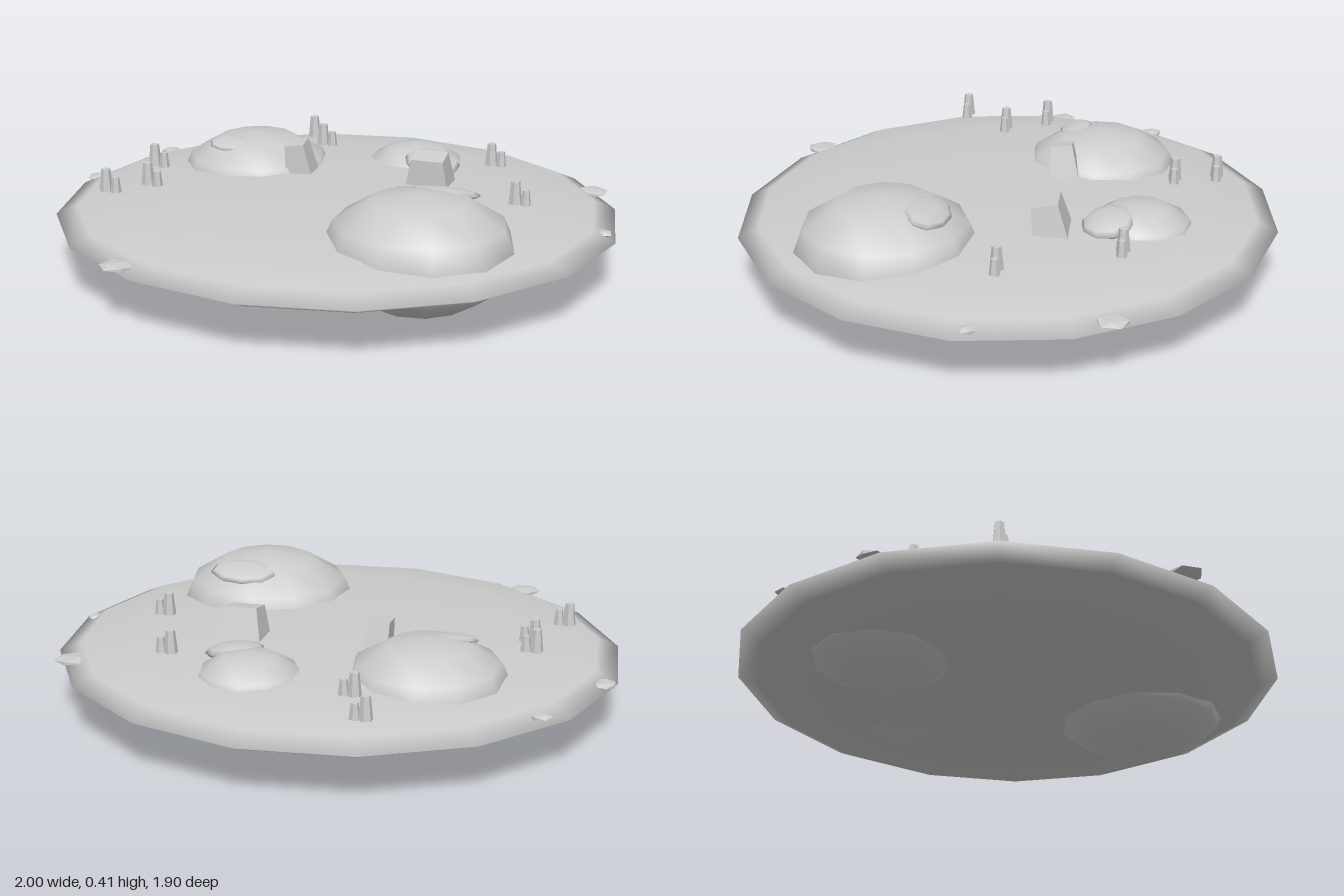
import * as THREE from 'three';

const stone = new THREE.MeshStandardMaterial({ color: 0xcccccc });
stone.name = 'pale grey stone';

// Facet a geometry so that each face has its own normal
function faceted(geometry) {
  const g = geometry.toNonIndexed();
  g.computeVertexNormals();
  return g;
}

export function createModel() {
  const model = new THREE.Group();
  model.name = 'discIsland';

  function add(name, geometry, position, scale = [1, 1, 1], rotation = [0, 0, 0]) {
    const mesh = new THREE.Mesh(geometry, stone);
    mesh.name = name;
    mesh.position.set(...position);
    mesh.scale.set(...scale);
    mesh.rotation.set(...rotation);
    model.add(mesh);
    return mesh;
  }

  // Lens-shaped base
  add('disc', new THREE.SphereGeometry(1, 16, 8), [0, 0.187, 0], [1, 0.089, 0.95]);

  // Three flattened domes which bulge out on both sides
  const domeGeometry = new THREE.SphereGeometry(1, 11, 6).rotateY(Math.PI);
  add('largeDome', domeGeometry, [0.415, 0.205, 0.343], [0.335, 0.203, 0.325]);
  add('mediumDome', domeGeometry, [-0.415, 0.205, -0.277], [0.287, 0.166, 0.288]);
  add('smallDome', domeGeometry, [0.14, 0.208, -0.485], [0.193, 0.116, 0.192]);

  // Shallow lumps on the domes
  const lump = new THREE.SphereGeometry(1, 9, 6);
  add('largeDomeLump', lump, [0.45, 0.365, 0.19], [0.13, 0.022, 0.08], [-0.25, 0, 0]);
  add('mediumDomeLump', lump, [-0.48, 0.345, -0.17], [0.08, 0.014, 0.06], [0.2, 0, 0]);
  add('smallDomeLump', lump, [0.235, 0.283, -0.385], [0.105, 0.03, 0.095], [0.15, 0, -0.15]);

  // Pairs of six-sided crystals: x, z and top height of the taller one
  const crystal = faceted(new THREE.CylinderGeometry(0.016, 0.024, 1, 6));
  const crystals = [
    [-0.35, -0.71, 0.32], [-0.26, -0.565, 0.335], [0.44, -0.46, 0.355], [0.63, -0.075, 0.345],
    [-0.72, -0.025, 0.357], [-0.675, 0.13, 0.335], [-0.757, 0.295, 0.352],
  ];
  for (const [x, z, top] of crystals) {
    add('tallCrystal', crystal, [x, top - 0.04, z], [1, 0.08, 1]);
    add('shortCrystal', crystal, [x + 0.037, top - 0.055, z], [0.8, 0.055, 0.8]);
  }

  // Tapered, tilted boulders
  const boulder = faceted(new THREE.CylinderGeometry(0.8, 1.1, 1, 4).rotateY(Math.PI / 4));
  add('leftBoulder', boulder, [-0.205, 0.32, -0.165], [0.062, 0.12, 0.067], [0.1, 0.1, 0.14]);
  add('rightBoulder', boulder, [0.285, 0.31, -0.19], [0.103, 0.125, 0.08], [0.17, 0.06, -0.03]);

  // Flat pebbles around the rim: x, y, z and radius
  const pebble = faceted(new THREE.IcosahedronGeometry(1, 0));
  const pebbles = [
    [0.815, 0.207, -0.475, 0.062], [-0.46, 0.205, 0.81, 0.062], [-0.96, 0.2, -0.05, 0.05],
    [0.95, 0.204, -0.04, 0.032], [-0.84, 0.209, -0.42, 0.04],
  ];
  pebbles.forEach(([x, y, z, r], i) => add('rimPebble', pebble, [x, y, z], [r, 0.012, r], [0, i * 0.7, 0]));

  return model;
}
